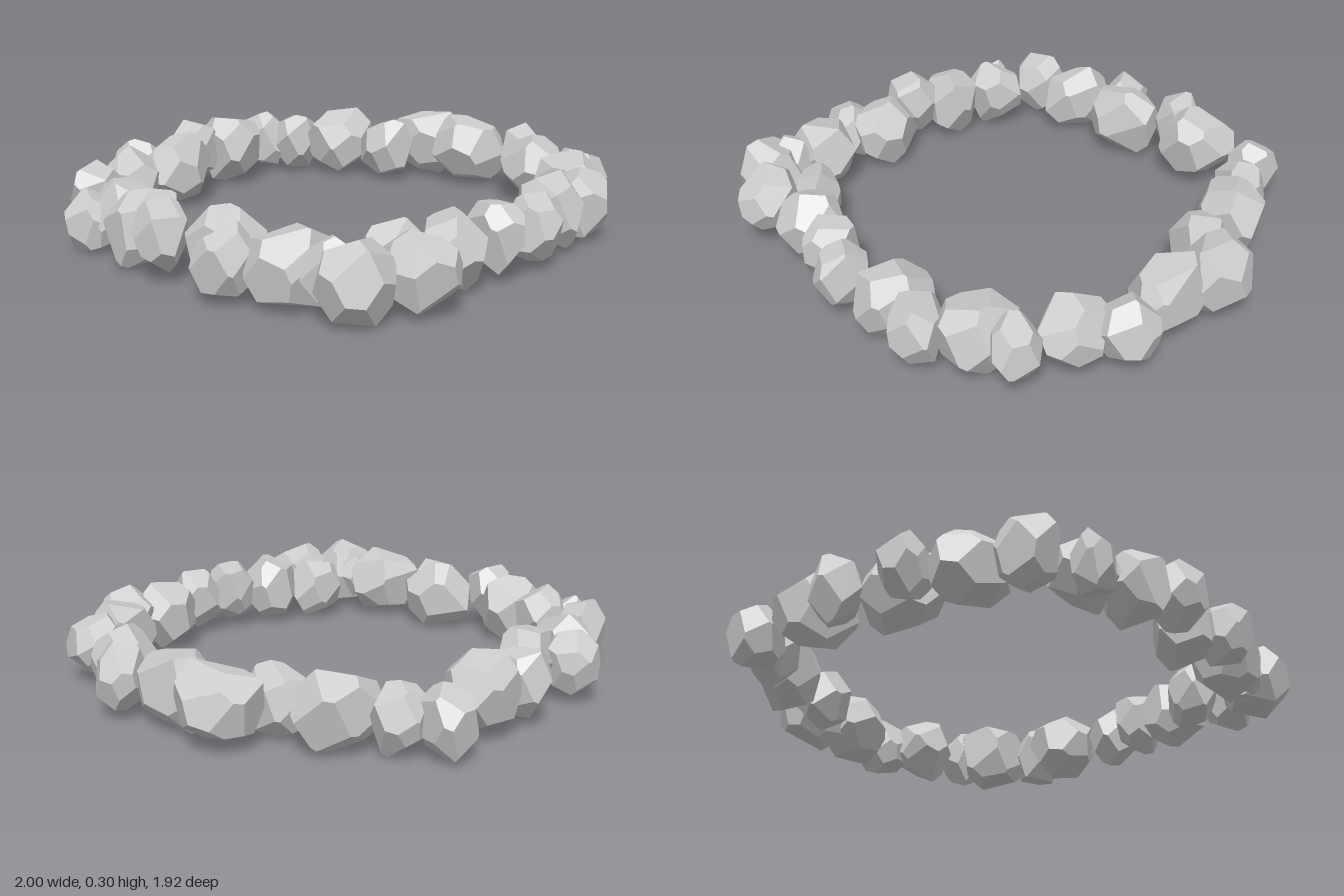
import * as THREE from 'three';
import { ConvexGeometry } from 'three/addons/geometries/ConvexGeometry.js';

// Each stone: x, z, half width, half depth, lean (diagonal stretch seen from above)
const sides = {
  back: [
    [-0.355, -0.84, 0.09, 0.11, 0.08], [-0.23, -0.72, 0.16, 0.125, -0.15],
    [-0.035, -0.865, 0.11, 0.1, 0.03], [0.15, -0.81, 0.137, 0.13, -0.05],
    [0.39, -0.855, 0.1, 0.11, -0.04], [0.48, -0.735, 0.107, 0.095, 0.03],
    [-0.515, -0.7, 0.125, 0.15, -0.14],
  ],
  left: [
    [0.605, -0.55, 0.147, 0.13, 0.12], [0.635, -0.34, 0.097, 0.115, 0.04],
    [0.85, -0.23, 0.13, 0.15, 0.08], [0.815, 0.01, 0.12, 0.155, 0.08],
    [0.89, 0.24, 0.108, 0.112, -0.1], [0.775, 0.385, 0.125, 0.14, -0.02],
    [0.75, 0.61, 0.095, 0.1, 0.1],
  ],
  front: [
    [0.6, 0.65, 0.125, 0.133, -0.1], [0.455, 0.8, 0.112, 0.112, 0.08],
    [0.265, 0.775, 0.137, 0.139, -0.08], [0.04, 0.845, 0.097, 0.108, 0],
    [-0.12, 0.81, 0.097, 0.107, -0.03], [-0.34, 0.775, 0.135, 0.128, -0.08],
    [-0.5, 0.645, 0.112, 0.095, 0.08], [-0.565, 0.83, 0.125, 0.125, 0.16],
    [-0.755, 0.72, 0.14, 0.123, 0.04],
  ],
  right: [
    [-0.76, 0.62, 0.1, 0.08, 0.02], [-0.775, 0.46, 0.143, 0.133, 0.1],
    [-0.89, 0.26, 0.108, 0.097, 0.02], [-0.78, 0.145, 0.123, 0.157, 0.06],
    [-0.895, -0.06, 0.107, 0.11, -0.1], [-0.83, -0.23, 0.13, 0.125, 0.06],
    [-0.775, -0.425, 0.125, 0.117, -0.06], [-0.875, -0.49, 0.09, 0.08, 0.08],
    [-0.725, -0.64, 0.11, 0.11, -0.08],
  ],
};

let seed = 7;
function random() {
  seed = (seed * 16807) % 2147483647;
  return seed / 2147483647;
}
const jitter = (amount) => (random() * 2 - 1) * amount;

// A stone is a blocky ball cut by scattered planes: the corners of the cut
// solid come from the faces of the hull around the inverted planes.
function stoneGeometry(hx, hy, hz, lean) {
  const cuts = 17;
  const turn = random() * Math.PI * 2;
  const poles = [];
  for (let i = 0; i < cuts; i++) {
    const y = 1 - (2 * i + 1) / cuts;
    const r = Math.sqrt(1 - y * y);
    const a = turn + i * 2.39996;
    const dir = new THREE.Vector3(
      r * Math.cos(a) + jitter(0.2), y + jitter(0.2), r * Math.sin(a) + jitter(0.2)).normalize();
    // Planes facing a box corner lie further out
    const blocky = 0.7 + 0.3 * dir.manhattanLength();
    poles.push(dir.divideScalar(blocky + jitter(0.07)));
  }
  const hull = new ConvexGeometry(poles).attributes.position;
  const corners = [];
  const tri = new THREE.Triangle();
  const plane = new THREE.Plane();
  for (let i = 0; i < hull.count; i += 3) {
    tri.a.fromBufferAttribute(hull, i);
    tri.b.fromBufferAttribute(hull, i + 1);
    tri.c.fromBufferAttribute(hull, i + 2);
    tri.getPlane(plane);
    const p = plane.normal.clone().divideScalar(-plane.constant);
    // Stretch along one diagonal
    corners.push(new THREE.Vector3(p.x + lean * p.z, p.y, p.z + lean * p.x));
  }
  // Fit the stone to its half sizes
  const box = new THREE.Box3().setFromPoints(corners);
  const mid = box.getCenter(new THREE.Vector3());
  const fit = new THREE.Vector3(hx, hy, hz).multiplyScalar(2)
    .divide(box.getSize(new THREE.Vector3()));
  corners.forEach((p) => p.sub(mid).multiply(fit));
  return new ConvexGeometry(corners);
}

export function createModel() {
  const model = new THREE.Group();
  model.name = 'stoneRing';
  const material = new THREE.MeshStandardMaterial({ color: 0xcccccc, flatShading: true });

  for (const [side, stones] of Object.entries(sides)) {
    const row = new THREE.Group();
    row.name = `${side}Stones`;
    stones.forEach(([x, z, hx, hz, lean], i) => {
      const hy = Math.min(0.143, 0.078 + 0.25 * (hx + hz)); // bigger stones stand taller
      const stone = new THREE.Mesh(stoneGeometry(hx, hy, hz, lean), material);
      stone.name = `${side}Stone${i + 1}`;
      stone.position.set(x, 0.15 + jitter(0.149 - hy), z);
      row.add(stone);
    });
    model.add(row);
  }
  // Rest the lowest stone on the ground
  model.position.y = -new THREE.Box3().setFromObject(model).min.y;
  return model;
}
